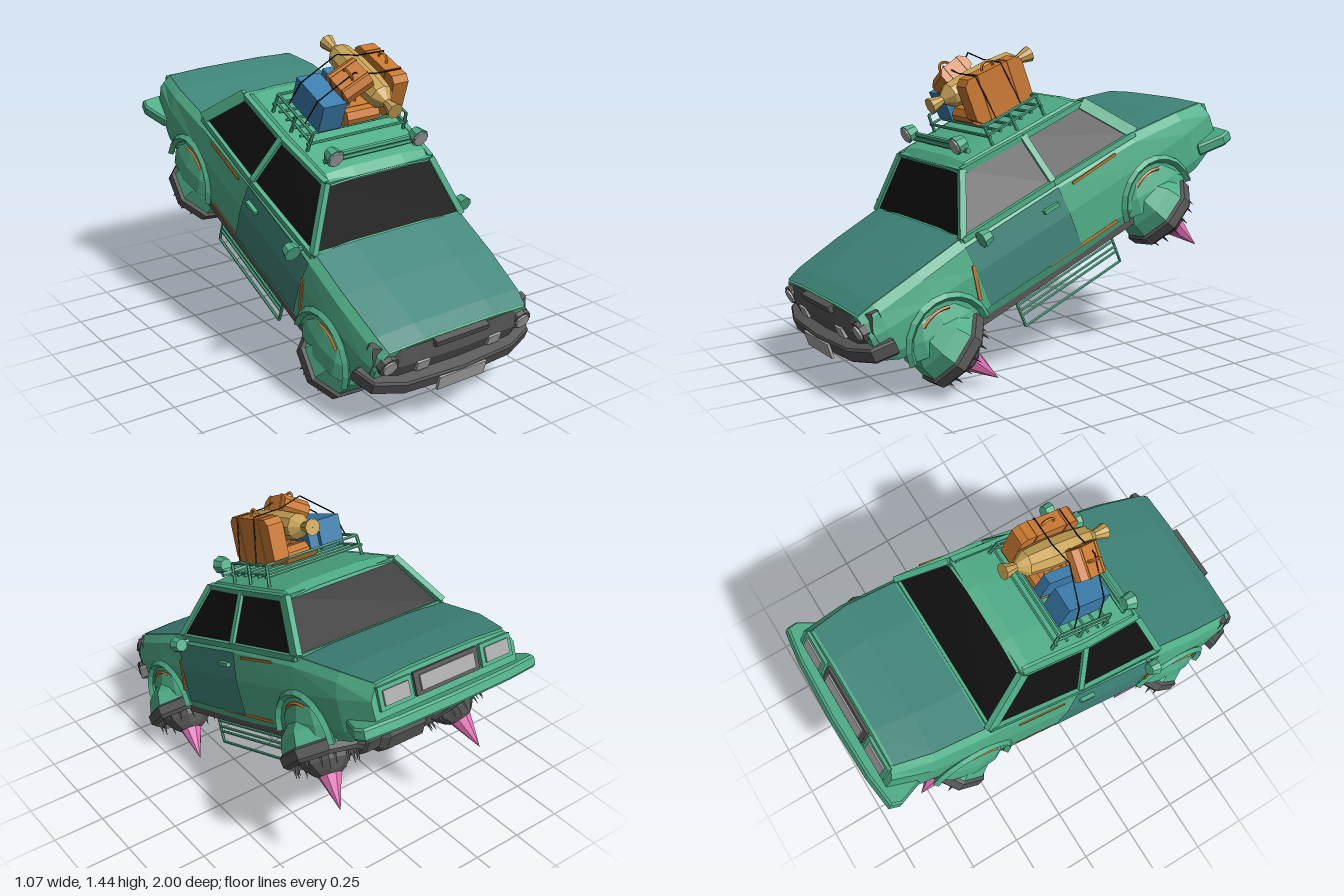
import * as THREE from 'three';

const C = { green: 0x4fae88, teal: 0x3f8579, dark: 0x555555, black: 0x101010, glass: 0xa8a8a8,
  orange: 0xc87830, tan: 0xc8a355, blue: 0x3a7dac, pink: 0xe272b5 };
const V = (x, y, z) => new THREE.Vector3(x, y, z);
const UP = V(0, 1, 0);

function add(parent, name, geo, color, pos = [0, 0, 0], rot = [0, 0, 0]) {
  const mat = new THREE.MeshStandardMaterial({ color, flatShading: true, side: THREE.DoubleSide });
  const m = new THREE.Mesh(geo, mat);
  m.name = name;
  m.position.set(...pos);
  m.rotation.set(...rot);
  parent.add(m);
  return m;
}
const box = (p, n, c, size, pos, rot) => add(p, n, new THREE.BoxGeometry(...size), c, pos, rot);

// Straight bar between two points: round with radius w, or rectangular w by d
function bar(p, n, c, a, b, w, d) {
  const A = V(...a), B = V(...b), len = A.distanceTo(B);
  const geo = d ? new THREE.BoxGeometry(w, len, d) : new THREE.CylinderGeometry(w, w, len, 6);
  const m = add(p, n, geo, c);
  m.position.copy(A).add(B).multiplyScalar(0.5);
  m.quaternion.setFromUnitVectors(UP, B.sub(A).normalize());
  return m;
}

// Surface through rings of equally many points
function loft(rings, closed = false) {
  const n = rings[0].length, idx = [];
  for (let i = 0; i < rings.length - 1; i++)
    for (let j = 0; j < (closed ? n : n - 1); j++) {
      const a = i * n + j, b = i * n + (j + 1) % n;
      idx.push(a, a + n, b, b, a + n, b + n);
    }
  const g = new THREE.BufferGeometry();
  g.setAttribute('position', new THREE.Float32BufferAttribute(rings.flat(2), 3));
  g.setIndex(idx);
  g.computeVertexNormals();
  return g;
}
const lathe = (pts, seg) => new THREE.LatheGeometry(pts.map(p => new THREE.Vector2(...p)), seg, Math.PI / seg);

// Body stations: z, half width, top height, bottom height
const STATIONS = [[-1.03, 0.385, 0.16, -0.05], [-0.85, 0.425, 0.203, -0.09], [-0.56, 0.437, 0.242, -0.11],
  [-0.1, 0.44, 0.258, -0.12], [0.4, 0.437, 0.255, -0.12], [0.65, 0.435, 0.234, -0.11],
  [0.88, 0.42, 0.21, -0.06], [0.96, 0.405, 0.192, -0.02]];

function section(z, grow = 0) {
  let i = 0;
  while (i < STATIONS.length - 2 && STATIONS[i + 1][0] < z) i++;
  const a = STATIONS[i], b = STATIONS[i + 1], t = (z - a[0]) / (b[0] - a[0]);
  const [w, top, bot] = [1, 2, 3].map(k => a[k] + (b[k] - a[k]) * t + (k < 3 ? grow : 0));
  const half = [[0.94 * w, bot], [0.99 * w, bot + 0.05], [w, 0.1], [0.96 * w, top - 0.035], [0.89 * w, top], [0.45 * w, top + 0.01]];
  return [...half.map(([x, y]) => [-x, y, z]), ...half.reverse().map(([x, y]) => [x, y, z])];
}
const strip = (zs, i0, i1, grow) => loft(zs.map(z => section(z, grow).slice(i0, i1)));

function buildBody(car) {
  const zs = STATIONS.map(s => s[0]);
  add(car, 'bodyShell', strip(zs, 0, 12), C.green);
  add(car, 'floor', loft(zs.map(z => { const s = section(z); return [s[0], s[11]]; })), C.dark);
  for (const [n, z] of [['noseCap', 0.96], ['tailCap', -1.03]]) {
    const s = section(z);
    add(car, n, loft([s, s.map(() => [0, 0.08, z])], true), C.green);
  }
  add(car, 'bonnet', strip([0.41, 0.65, 0.88, 0.955], 4, 8, 0.005), C.teal);
  add(car, 'bootLid', strip([-1.02, -0.85, -0.6], 4, 8, 0.005), C.teal);
  for (const i of [1, 8]) add(car, 'frontDoor', strip([-0.1, 0.42], i, i + 3, 0.005), C.teal);
  for (const s of [-1, 1]) {
    box(car, 'sill', C.dark, [0.05, 0.035, 0.92], [s * 0.39, -0.125, 0.03]);
    box(car, 'doorHandle', C.green, [0.02, 0.018, 0.08], [s * 0.445, 0.17, -0.02]);
    bar(car, 'mirrorArm', C.green, [s * 0.4, 0.24, 0.34], [s * 0.46, 0.235, 0.34], 0.012);
    add(car, 'mirror', new THREE.CylinderGeometry(0.04, 0.03, 0.045, 8), C.green, [s * 0.466, 0.235, 0.335], [Math.PI / 2, 0, 0]);
    // Rust along edges
    box(car, 'rustPatch', C.orange, [0.006, 0.012, 0.26], [s * 0.436, 0.215, -0.3], [0.03, 0, 0]);
    box(car, 'rustPatch', C.orange, [0.006, 0.16, 0.016], [s * 0.438, 0.06, 0.44], [-0.2, 0, 0]);
    box(car, 'rustPatch', C.orange, [0.006, 0.014, 0.4], [s * 0.434, -0.07, -0.12]);
  }
}

function buildCabin(car) {
  // Corner points of the glasshouse at belt and roof
  const belt = s => [[s * 0.4, 0.25, 0.41], [s * 0.415, 0.255, -0.09], [s * 0.4, 0.24, -0.58]];
  const roof = s => [[s * 0.28, 0.475, 0.235], [s * 0.305, 0.472, -0.09], [s * 0.3, 0.462, -0.43]];
  const loop = f => [...f(1), ...f(-1).reverse()];
  add(car, 'windows', loft([loop(belt), loop(roof)], true), C.black);
  for (const s of [-1, 1]) {
    const b = belt(s), r = roof(s);
    b.forEach((p, i) => bar(car, 'pillar', C.green, p, r[i], 0.028, i === 2 ? 0.055 : 0.03));
    for (const row of [b, r])
      for (let i = 0; i < 2; i++) bar(car, 'windowFrame', C.green, row[i], row[i + 1], 0.026, 0.026);
  }
  for (const f of [belt, roof])
    for (const i of [0, 2]) bar(car, 'windowFrame', C.green, f(-1)[i], f(1)[i], 0.02, 0.018);
  // Crowned roof
  const arc = [[-0.31, 0.465], [-0.28, 0.493], [-0.14, 0.505], [0.14, 0.505], [0.28, 0.493], [0.31, 0.465]];
  const ends = [[0.25, 0.93, -0.025], [0.2, 0.95, 0.003], [-0.1, 1, 0], [-0.4, 0.99, -0.007], [-0.45, 0.98, -0.035]];
  add(car, 'roof', loft(ends.map(([z, k, d]) => arc.map(([x, y]) => [x * k, y + d, z])), true), C.green);
}

// Bumper from a plan outline, half listed and mirrored
function bumper(car, name, color, half, h, y) {
  const pts = [...half, ...half.slice().reverse().map(([x, z]) => [-x, z])];
  const g = new THREE.ExtrudeGeometry(new THREE.Shape(pts.map(p => new THREE.Vector2(...p))),
    { depth: h, bevelEnabled: true, bevelSize: 0.008, bevelThickness: 0.01, bevelSegments: 1 });
  add(car, name, g, color, [0, y + h / 2, 0], [Math.PI / 2, 0, 0]);
}

function buildEnds(car) {
  const front = [[-0.41, 0.06], [-0.3, 0.01], [0, 0], [0.3, 0.01], [0.41, 0.06]];
  add(car, 'grille', loft(front.map(([x, d]) =>
    [[x, 0.192, 0.97 - d], [x, 0.12, 1.0 - d], [x, 0.02, 0.99 - d], [x, 0.02, 0.88], [x, 0.192, 0.88]]), true), C.dark);
  box(car, 'grilleLip', C.dark, [0.28, 0.03, 0.04], [0, 0.185, 0.97]);
  bumper(car, 'frontBumper', C.dark, [[0, 1.045], [0.28, 1.03], [0.41, 0.98], [0.445, 0.89], [0.4, 0.88], [0.37, 0.95], [0, 0.98]], 0.05, 0.025);
  box(car, 'frontPlate', C.glass, [0.25, 0.07, 0.012], [0, 0.012, 1.055], [-0.1, 0, 0]);
  for (const s of [-1, 1]) {
    add(car, 'headlightRim', new THREE.CylinderGeometry(0.047, 0.05, 0.03, 8), C.dark, [s * 0.355, 0.127, 0.965], [Math.PI / 2, 0, 0]);
    add(car, 'headlight', new THREE.CylinderGeometry(0.034, 0.034, 0.012, 12), C.glass, [s * 0.355, 0.127, 0.983], [Math.PI / 2, 0, 0]);
    box(car, 'foglight', C.glass, [0.065, 0.05, 0.02], [s * 0.19, 0.097, 0.993]);
    box(car, 'tailLightFrame', C.green, [0.17, 0.1, 0.02], [s * 0.27, 0.1, -1.035]);
    box(car, 'tailLight', C.glass, [0.13, 0.065, 0.012], [s * 0.27, 0.1, -1.047]);
  }
  box(car, 'rearPanel', C.dark, [0.34, 0.1, 0.016], [0, 0.1, -1.036]);
  box(car, 'rearPlate', C.glass, [0.29, 0.065, 0.012], [0, 0.1, -1.046]);
  bumper(car, 'rearBumper', C.green, [[0, -1.075], [0.3, -1.066], [0.455, -1.045], [0.465, -1.0], [0.42, -0.89], [0.4, -0.89], [0.39, -0.99], [0, -1.02]], 0.035, -0.01);
}

// Hover pod: shell, rim, teeth, nozzle and flame, pointing down
function buildPod() {
  const pod = new THREE.Group();
  pod.name = 'hoverPod';
  add(pod, 'podShell', lathe([[0.001, 0.17], [0.1, 0.155], [0.16, 0.085], [0.178, 0]], 8), C.green);
  add(pod, 'podRim', lathe([[0.172, 0.02], [0.188, 0.008], [0.184, -0.035], [0.165, -0.05], [0.155, -0.03], [0.13, -0.02], [0.001, -0.02]], 8), C.dark);
  add(pod, 'nozzle', lathe([[0.12, -0.02], [0.11, -0.06], [0.075, -0.1], [0.055, -0.115], [0.001, -0.11]], 8), C.dark);
  add(pod, 'flame', new THREE.ConeGeometry(0.055, 0.165, 8), C.pink, [0, -0.19, 0], [Math.PI, 0, 0]);
  for (let i = 0; i < 14; i++) {
    const a = i * Math.PI / 7;
    add(pod, 'tooth', new THREE.ConeGeometry(0.012, 0.075, 4), C.dark, [Math.cos(a) * 0.14, -0.06, Math.sin(a) * 0.14], [Math.PI, 0, 0]);
  }
  return pod;
}

function buildHover(car) {
  const half = [[0.06, 0.3], [0.06, 0.22], [0.1, 0.2], [0.1, 0.13], [0.125, 0.1]];
  const profile = [...half.map(([r, y]) => [r, -y]), ...half.reverse()];
  for (const z of [0.64, -0.58]) {
    add(car, 'axleBarrel', lathe(profile, 10), C.dark, [0, -0.17, z], [0, 0, Math.PI / 2]);
    for (const s of [-1, 1]) {
      // The right-hand pods sit a little lower and further in
      const pod = buildPod();
      pod.position.set(s > 0 ? 0.375 : -0.325, (s > 0 ? -0.16 : -0.175) - (z < 0 ? 0.015 : 0), z);
      pod.quaternion.setFromUnitVectors(V(0, -1, 0), V(s * 0.17, -0.88, z > 0 ? -0.47 : -0.4).normalize());
      car.add(pod);
      // Flared wheel arch
      const arch = add(car, 'wheelArch', new THREE.SphereGeometry(0.205, 10, 4, 0, Math.PI * 2, 0, Math.PI / 2), C.green, [s * 0.385, -0.1, z + 0.015]);
      arch.scale.set(0.42, 0.95, 1);
      add(car, 'archLip', new THREE.TorusGeometry(0.195, 0.018, 4, 10, Math.PI), C.green, [s * 0.435, -0.1, z + 0.015], [0, Math.PI / 2, 0]);
      add(car, 'rustPatch', new THREE.TorusGeometry(0.15, 0.008, 4, 6, 1), C.orange, [s * 0.44, -0.1, z + 0.015], [0, Math.PI / 2, 1.2, 'YXZ']);
    }
  }
  box(car, 'driveShaft', C.dark, [0.04, 0.03, 1.1], [0, -0.13, 0.03]);
  // Side step racks
  for (const s of [-1, 1]) {
    for (const y of [-0.17, -0.2, -0.225, -0.28])
      bar(car, 'stepRail', C.green, [s * 0.385, y, 0.28], [s * 0.385, y, -0.29], 0.007);
    for (const z of [0.28, -0.29]) bar(car, 'stepPost', C.green, [s * 0.385, -0.12, z], [s * 0.385, -0.28, z], 0.007);
  }
}

function suitcase(p, color, size, pos, rot) {
  const g = new THREE.Group();
  g.name = 'suitcase';
  g.position.set(...pos);
  g.rotation.set(...rot);
  p.add(g);
  const [w, h, d] = size, c = 0.025;
  const sh = new THREE.Shape([[-d / 2 + c, -h / 2], [d / 2 - c, -h / 2], [d / 2, -h / 2 + c], [d / 2, h / 2 - c],
    [d / 2 - c, h / 2], [-d / 2 + c, h / 2], [-d / 2, h / 2 - c], [-d / 2, -h / 2 + c]].map(q => new THREE.Vector2(...q)));
  add(g, 'case', new THREE.ExtrudeGeometry(sh, { depth: w, bevelEnabled: false }), color, [-w / 2, 0, 0], [0, Math.PI / 2, 0]);
  for (const k of [-1, 1]) box(g, 'strap', color, [w + 0.006, h + 0.006, 0.006], [0, 0, k * d * 0.26]);
  add(g, 'handle', new THREE.TorusGeometry(0.03, 0.007, 4, 8, Math.PI), color, [0, h / 2, 0], [0, Math.PI / 2, 0]);
}

function buildRack(car) {
  const g = new THREE.Group();
  g.name = 'roofRack';
  car.add(g);
  for (const s of [-1, 1]) {
    for (const y of [0.54, 0.585]) bar(g, 'rackRail', C.green, [s * 0.25, y, 0.04], [s * 0.25, y, -0.255], 0.007);
    for (const z of [0.04, -0.1, -0.255]) bar(g, 'rackPost', C.green, [s * 0.26, 0.48, z], [s * 0.25, 0.585, z], 0.008);
    add(g, 'roofLamp', new THREE.CylinderGeometry(0.044, 0.03, 0.05, 8), C.green, [s * 0.225, 0.565, 0.17], [Math.PI / 2, 0, 0]);
    add(g, 'lampLens', new THREE.CylinderGeometry(0.036, 0.036, 0.01, 10), C.glass, [s * 0.225, 0.565, 0.198], [Math.PI / 2, 0, 0]);
  }
  for (let i = 0; i < 6; i++) bar(g, 'rackSlat', C.green, [-0.27, 0.535, 0.04 - i * 0.059], [0.27, 0.535, 0.04 - i * 0.059], 0.007);
  for (const y of [0.525, 0.55]) bar(g, 'lampBar', C.green, [-0.25, y, 0.155], [0.25, y, 0.155], 0.012);
  bar(g, 'rackEnd', C.green, [-0.25, 0.585, -0.255], [0.25, 0.585, -0.255], 0.007);
  // Luggage
  suitcase(g, C.orange, [0.08, 0.21, 0.31], [0.172, 0.68, -0.115], [-0.05, 0, 0]);
  suitcase(g, C.orange, [0.17, 0.075, 0.24], [0.03, 0.585, -0.1], [0, 0, 0]);
  suitcase(g, C.orange, [0.14, 0.085, 0.16], [-0.045, 0.765, -0.05], [0.1, 0.1, 0.5]);
  box(g, 'blueBox', C.blue, [0.12, 0.135, 0.23], [-0.143, 0.63, -0.1]);
  box(g, 'blueBox', C.blue, [0.05, 0.12, 0.18], [-0.035, 0.645, -0.14]);
  add(g, 'clothSack', lathe([[0.001, -0.28], [0.038, -0.28], [0.02, -0.215], [0.058, -0.17], [0.068, -0.06],
    [0.068, 0.06], [0.058, 0.17], [0.02, 0.215], [0.038, 0.28], [0.001, 0.28]], 9), C.tan, [0.067, 0.718, -0.12], [Math.PI / 2 - 0.03, 0, 0]);
  for (const z of [-0.03, -0.17]) {
    const path = [[-0.25, 0.585], [-0.21, 0.7], [-0.05, 0.82], [0.067, 0.793], [0.21, 0.79], [0.25, 0.585]];
    for (let i = 0; i < 5; i++) bar(g, 'rope', C.black, [...path[i], z], [...path[i + 1], z], 0.003);
  }
}

export function createModel() {
  const model = new THREE.Group();
  const car = new THREE.Group();
  car.name = 'hoverCar';
  model.add(car);
  [buildBody, buildCabin, buildEnds, buildHover, buildRack].forEach(f => f(car));
  // Nose-down flight pose with a slight bank
  car.rotation.set(0.401, 0, 0.025, 'ZXY');
  car.position.set(-0.03, 0.6, 0);
  return model;
}
